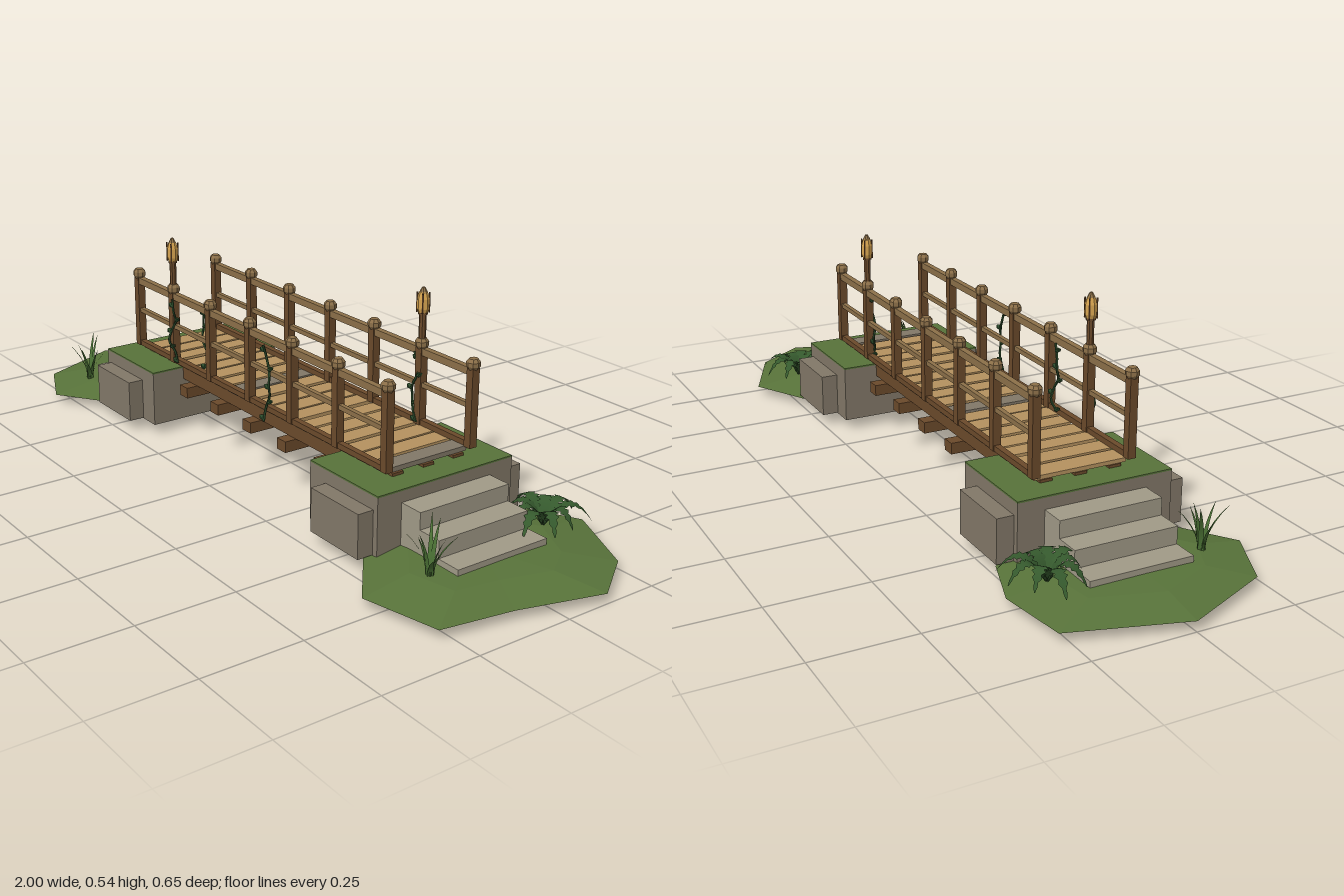
import * as THREE from 'three';

const mat = (name, color, extra = {}) => {
  const m = new THREE.MeshStandardMaterial({ color, ...extra });
  m.name = name;
  return m;
};

export function createModel() {
  const flat = { flatShading: true };
  const M = {
    stone: mat('stone', 0x827868),
    paleStone: mat('pale stone', 0xa19a87),
    grass: mat('grass', 0x58733a, flat),
    plank: mat('plank', 0xb5925f),
    darkWood: mat('dark wood', 0x6b4a2b, flat),
    railWood: mat('rail wood', 0x8c7049, flat),
    lamp: mat('lamp gold', 0xd6a450, flat),
    blade: mat('grass blade', 0x4a7034, { side: THREE.DoubleSide }),
    fern: mat('fern green', 0x35592d, { side: THREE.DoubleSide }),
    vine: mat('vine green', 0x2b4a2a, flat),
  };
  const root = new THREE.Group();
  root.name = 'footbridge';
  const group = (name) => {
    const g = new THREE.Group();
    g.name = name;
    root.add(g);
    return g;
  };
  const add = (parent, name, geo, material, x = 0, y = 0, z = 0) => {
    const m = new THREE.Mesh(geo, material);
    m.name = name;
    m.position.set(x, y, z);
    parent.add(m);
    return m;
  };
  // box given by its extents
  const box = (parent, name, material, x0, x1, y0, y1, z0, z1) =>
    add(parent, name, new THREE.BoxGeometry(x1 - x0, y1 - y0, z1 - z0), material,
      (x0 + x1) / 2, (y0 + y1) / 2, (z0 + z1) / 2);

  // low-poly lens of earth, lofted from a scaled outline
  function mound(outline, cx) {
    const rings = [[0, 0], [0.58, 0.003], [1, 0.025], [0.6, 0.044], [0, 0.048]];
    const n = outline.length, pos = [], idx = [];
    for (const [s, y] of rings)
      for (const [x, z] of outline) pos.push(cx + (x - cx) * s, y, z * s);
    for (let r = 0; r < rings.length - 1; r++)
      for (let k = 0; k < n; k++) {
        const a = r * n + k, b = r * n + (k + 1) % n, c = a + n, d = b + n;
        if (r > 0) idx.push(a, c, b);
        else { idx.push(a, c, d); continue; }
        if (r < rings.length - 2) idx.push(b, c, d);
      }
    const g = new THREE.BufferGeometry();
    g.setAttribute('position', new THREE.Float32BufferAttribute(pos, 3));
    g.setIndex(idx);
    const out = g.toNonIndexed();
    out.computeVertexNormals();
    return out;
  }

  // leaf ribbon: outward distance, height and half width along t
  function ribbon(steps, reach, height, halfWidth) {
    const pos = [], idx = [];
    for (let i = 0; i <= steps; i++) {
      const t = i / steps, w = halfWidth(t, i);
      pos.push(reach(t), height(t), -w, reach(t), height(t), w);
      if (i < steps) idx.push(2 * i, 2 * i + 1, 2 * i + 2, 2 * i + 1, 2 * i + 3, 2 * i + 2);
    }
    const g = new THREE.BufferGeometry();
    g.setAttribute('position', new THREE.Float32BufferAttribute(pos, 3));
    g.setIndex(idx);
    g.computeVertexNormals();
    return g;
  }

  // grassy banks
  const banks = group('banks');
  add(banks, 'rightBank', mound([[-0.48, 0.1], [-0.61, 0.21], [-0.74, 0.3], [-0.9, 0.227], [-1, 0],
    [-0.915, -0.275], [-0.74, -0.3], [-0.6, -0.25], [-0.47, -0.1]], -0.74), M.grass);
  add(banks, 'leftBank', mound([[0.94, 0.1], [0.91, 0.28], [0.715, 0.325], [0.56, 0.2], [0.43, 0.08],
    [0.42, -0.1], [0.565, -0.25], [0.715, -0.33], [0.91, -0.24], [1, -0.11]], 0.71), M.grass);

  // stone abutments with side buttresses, turf and three steps
  for (const s of [-1, 1]) {
    const g = group(s < 0 ? 'rightAbutment' : 'leftAbutment');
    const shift = s < 0 ? -0.025 : 0;
    const span = (a, b) => (s < 0 ? [-b, -a].map((v) => v + shift) : [a, b]);
    box(g, 'abutment', M.stone, ...span(0.345, 0.595), 0.028, 0.173, -0.208, 0.19);
    box(g, 'turf', M.grass, ...span(0.345, 0.595), 0.173, 0.177, -0.208, 0.19);
    box(g, 'buttress', M.stone, ...span(0.405, 0.58), 0.03, 0.14, -0.251, 0.232);
    [0.145, 0.103, 0.06].forEach((h, i) =>
      box(g, 'step', M.paleStone, ...span(0.595 + i * 0.064, 0.659 + i * 0.064), 0.03, h, -0.14, 0.122));
  }

  // deck: stringers, cross beams and planks
  const deck = group('deck');
  for (const z of [-0.1, -0.01, 0.08])
    box(deck, 'stringer', M.darkWood, -0.555, 0.53, 0.142, 0.184, z - 0.016, z + 0.016);
  for (let i = 0; i < 5; i++) {
    const x = -0.317 + i * 0.152;
    box(deck, 'crossBeam', M.darkWood, x - 0.018, x + 0.018, 0.113, 0.142, -0.15, 0.128);
  }
  const pitch = 1.085 / 18;
  for (let i = 0; i < 18; i++) {
    const x = -0.555 + i * pitch, worn = i === 7 || i === 17;
    const gap = 0.003 + ((i * 7) % 5) * 0.001;
    box(deck, 'plank', worn ? M.stone : M.plank, x + gap, x + pitch - gap, 0.184,
      0.194 + (i % 3) * 0.001, -0.13, 0.11);
  }

  // railings
  const capGeo = new THREE.LatheGeometry([[0, -0.014], [0.011, -0.014], [0.017, -0.005], [0.017, 0.005],
    [0.011, 0.013], [0, 0.013]].map(([x, y]) => new THREE.Vector2(x, y)), 8);
  const lampGeo = new THREE.LatheGeometry([[0, 0], [0.01, 0], [0.015, 0.014], [0.015, 0.038],
    [0.01, 0.055], [0, 0.055]].map(([x, y]) => new THREE.Vector2(x, y)), 8);
  for (const z of [0.116, -0.133]) {
    const g = group(z > 0 ? 'frontRailing' : 'backRailing');
    for (let i = 0; i < 7; i++) {
      const x = -0.557 + i * 0.1815;
      box(g, 'post', M.darkWood, x - 0.0105, x + 0.0105, 0.195, 0.39, z - 0.0105, z + 0.0105);
      add(g, 'postCap', capGeo, M.railWood, x, 0.4, z);
      // lamp posts stand on opposite corners
      if (i === (z > 0 ? 1 : 5)) {
        add(g, 'lampPost', new THREE.CylinderGeometry(0.009, 0.009, 0.064, 8), M.darkWood, x, 0.442, z);
        add(g, 'lamp', lampGeo, M.lamp, x, 0.472, z);
        add(g, 'lampCollar', new THREE.CylinderGeometry(0.012, 0.012, 0.005, 8), M.darkWood, x, 0.474, z);
        add(g, 'lampCap', new THREE.CylinderGeometry(0.004, 0.011, 0.014, 8), M.railWood, x, 0.531, z);
        for (let k = 0; k < 4; k++) {
          const a = Math.PI / 4 + k * Math.PI / 2;
          add(g, 'lampRib', new THREE.BoxGeometry(0.003, 0.05, 0.003), M.darkWood,
            x + 0.0145 * Math.cos(a), 0.501, z + 0.0145 * Math.sin(a));
        }
      }
    }
    box(g, 'topRail', M.railWood, -0.557, 0.532, 0.372, 0.39, z - 0.008, z + 0.008);
    box(g, 'middleRail', M.railWood, -0.557, 0.532, 0.291, 0.303, z - 0.006, z + 0.006);
    box(g, 'bottomRail', M.darkWood, -0.557, 0.532, 0.195, 0.209, z - 0.008, z + 0.008);
  }

  // hanging vines with small leaves
  const vines = group('vines');
  const leafGeo = new THREE.IcosahedronGeometry(0.01, 0);
  [[-0.36, 0.13, 0.2], [-0.25, 0.1, 0.205], [0.092, 0.135, 0.175], [0.337, -0.125, 0.2]].forEach(([x, z, low], v) => {
    const pts = [];
    for (let i = 0; i <= 6; i++)
      pts.push(new THREE.Vector3(x + 0.014 * Math.sin(i * 1.3 + v * 2), 0.375 + (low - 0.375) * i / 6,
        z + 0.006 * Math.sin(i * 2 + v)));
    const curve = new THREE.CatmullRomCurve3(pts);
    add(vines, 'vineStem', new THREE.TubeGeometry(curve, 20, 0.0032, 5), M.vine);
    for (let i = 0; i < 5; i++) {
      const p = curve.getPoint(0.08 + i * 0.22);
      const leaf = add(vines, 'vineLeaf', leafGeo, M.vine, p.x + (i % 2 ? 0.007 : -0.007), p.y, p.z);
      leaf.scale.set(1, 0.6, 0.8);
      leaf.rotation.z = i % 2 ? 0.6 : -0.6;
    }
  });

  // arching ferns with toothed fronds
  for (const x of [-0.745, 0.71]) {
    const g = group('fern');
    g.position.set(x, 0.042, -0.205);
    for (let i = 0; i < 9; i++) {
      const len = 0.095 + 0.015 * ((i * 5) % 3 - 1);
      const geo = ribbon(16, (t) => len * t, (t) => 0.19 * t * (1.06 - t) + 0.004,
        (t, k) => 0.02 * Math.sin(Math.PI * Math.min(1, 0.12 + t * 0.88)) * (k % 2 ? 1 : 0.5) + 0.001);
      add(g, 'frond', geo, M.fern).rotation.y = i * Math.PI * 2 / 9 + 0.2;
    }
  }

  // upright tufts of grass
  for (const [x, z] of [[-0.765, 0.175], [0.745, 0.165]]) {
    const g = group('grassTuft');
    g.position.set(x, 0.04, z);
    for (let i = 0; i < 9; i++) {
      const h = 0.075 + 0.015 * ((i * 4) % 5 - 0.5), r = 0.03 + 0.012 * ((i * 2) % 4);
      const geo = ribbon(5, (t) => 0.006 + r * t * t, (t) => h * t, (t) => 0.007 * (1 - t * t));
      add(g, 'blade', geo, M.blade).rotation.y = i * 2.4;
    }
  }
  return root;
}
